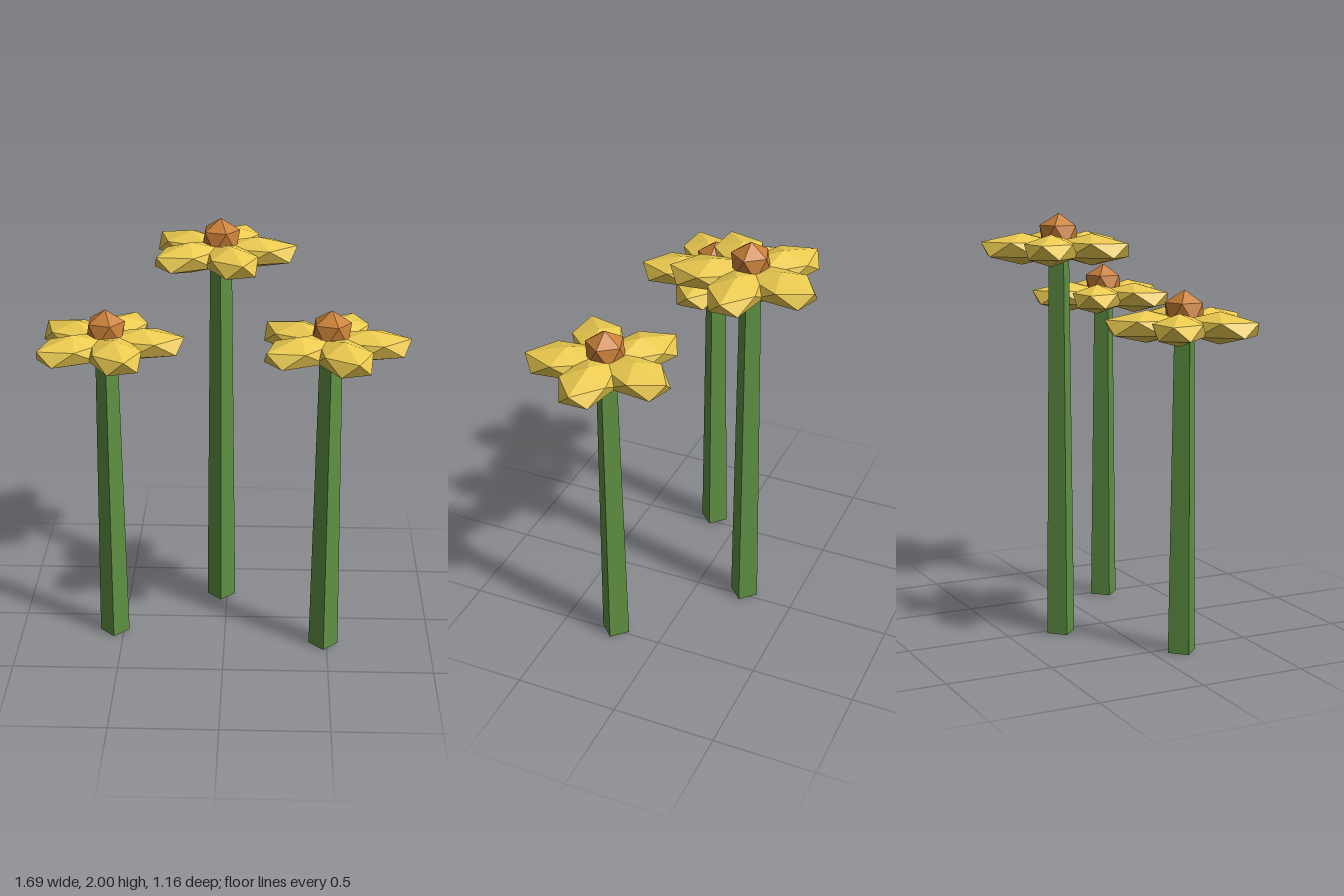
import * as THREE from 'three';

const material = (color) => new THREE.MeshStandardMaterial({ color, flatShading: true });

// Icosahedron with a corner at the top and an upper corner pointing along +x
function icoGeometry(rx, ry, rz) {
  const golden = (1 + Math.sqrt(5)) / 2;
  return new THREE.IcosahedronGeometry(1, 0)
    .rotateZ(-Math.atan(1 / golden))
    .scale(rx, ry, rz);
}

export function createModel() {
  const model = new THREE.Group();
  model.name = 'flowers';

  const green = material(0x5f9143);
  const yellow = material(0xeccb50);
  const orange = material(0xca8038);

  const petalGeometry = icoGeometry(0.211, 0.073, 0.132).translate(0.172, 0, 0);
  const coreGeometry = icoGeometry(0.1, 0.1, 0.1);

  // x, z and height of the petal ring
  const flowers = [
    [-0.03, -0.24, 1.838],
    [-0.545, 0.14, 1.513],
    [0.483, 0.237, 1.553],
  ];

  for (const [x, z, height] of flowers) {
    const flower = new THREE.Group();
    flower.name = 'flower';
    flower.position.set(x, 0, z);

    // Tapered four-sided stem
    const stem = new THREE.Mesh(new THREE.CylinderGeometry(0.051, 0.071, height, 4), green);
    stem.name = 'stem';
    stem.position.y = height / 2;
    flower.add(stem);

    // Ring of five petals
    for (let i = 0; i < 5; i++) {
      const petal = new THREE.Mesh(petalGeometry, yellow);
      petal.name = 'petal';
      petal.position.y = height;
      petal.rotation.y = (i / 5) * Math.PI * 2;
      flower.add(petal);
    }

    // Round flower centre
    const core = new THREE.Mesh(coreGeometry, orange);
    core.name = 'flowerCentre';
    core.position.y = height + 0.062;
    flower.add(core);

    model.add(flower);
  }
  return model;
}
